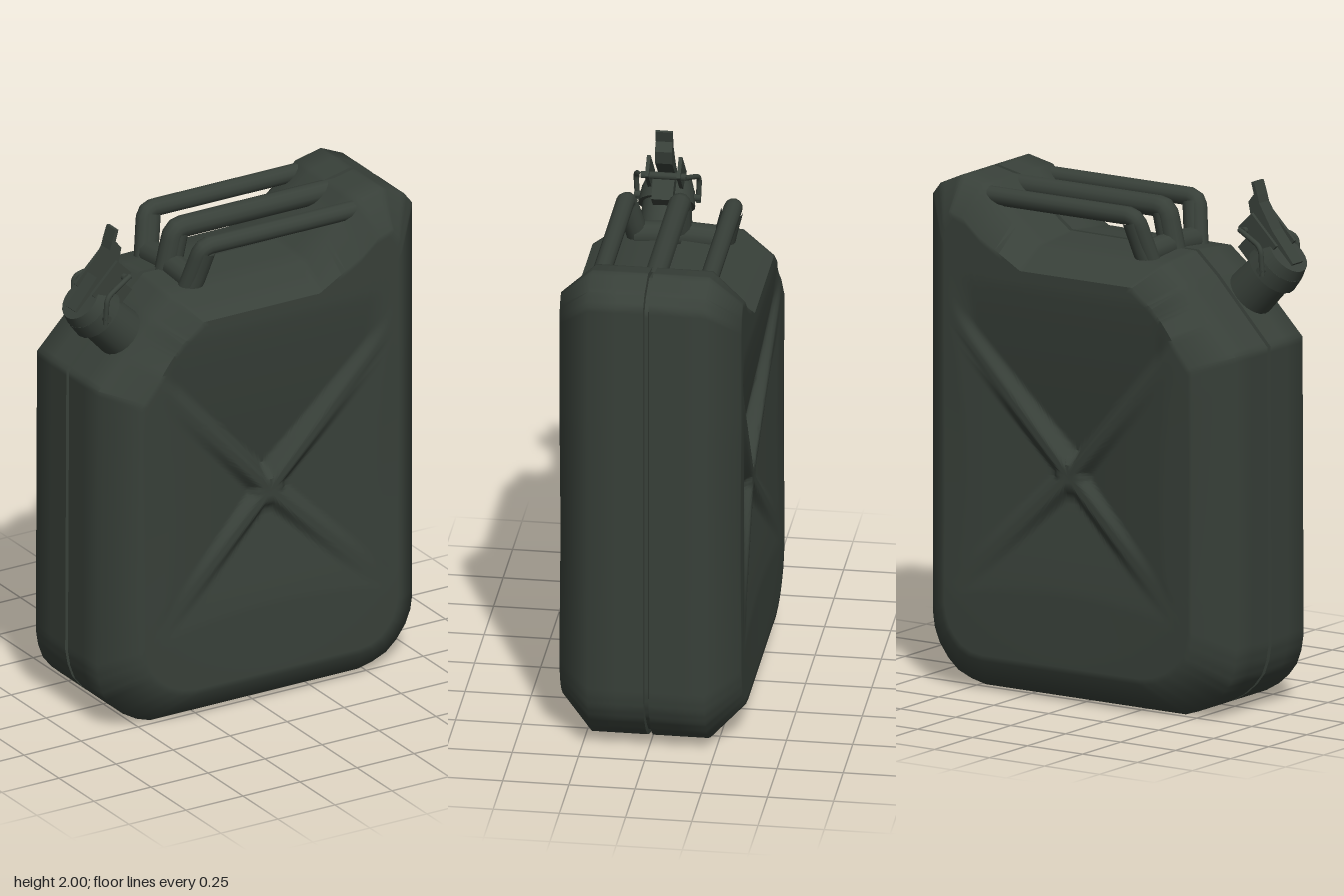
import * as THREE from 'three';
import { toCreasedNormals } from 'three/addons/utils/BufferGeometryUtils.js';

const green = new THREE.MeshStandardMaterial({ color: 0x384039 });
green.name = 'dark olive green';

// Control points round the can: seam x, y, drop at the shoulder, face x, y
const OUTLINE = [
  [-0.43, 0.005, 0, -0.31, 0.125], [0.48, 0.005, 0, 0.42, 0.125],
  [0.545, 0.02, 0, 0.475, 0.133], [0.605, 0.045, 0, 0.52, 0.155],
  [0.65, 0.085, 0, 0.55, 0.185], [0.69, 0.14, 0, 0.575, 0.22],
  [0.712, 0.195, 0, 0.59, 0.26], [0.72, 0.25, 0, 0.6, 0.31],
  [0.72, 1.855, 0, 0.6, 1.74], [0.685, 1.9, 0, 0.59, 1.79],
  [0.59, 1.942, 0, 0.56, 1.83], [0.48, 1.918, 0, 0.5, 1.81],
  [0.42, 1.868, 0.01, 0.43, 1.75], [0.245, 1.735, 0.02, 0.24, 1.64],
  [-0.33, 1.73, 0.02, -0.27, 1.64], [-0.425, 1.645, 0.01, -0.36, 1.57],
  [-0.655, 1.4, 0, -0.54, 1.35], [-0.66, 0.26, 0, -0.54, 0.33],
  [-0.65, 0.2, 0, -0.53, 0.28], [-0.63, 0.145, 0, -0.51, 0.235],
  [-0.595, 0.1, 0, -0.475, 0.195], [-0.55, 0.06, 0, -0.43, 0.16],
  [-0.49, 0.025, 0, -0.37, 0.135],
];
const CX = 0.045, CY = 0.87;
const ARMS = [[-0.47, 1.42], [0.5, 1.36], [0.55, 0.38], [-0.47, 0.4]];

// Depth of the pressed face: four panels sinking toward the middle, parted by raised ribs
function pressDepth(x, y) {
  const dx = x - CX, dy = y - CY, ax = Math.abs(dx), ay = Math.abs(dy);
  const top = dy > 0 && ay >= ax;
  const reach = top ? 0.72 : 0.5;
  const q = Math.min(1, Math.max(ax, ay) / reach);
  const sideFade = top ? Math.min(1, Math.max(0, (0.5 - ax) / 0.08)) : 1;
  const panel = (top ? 0.115 : 0.08) * Math.pow(1 - q, 1.2) * sideFade;
  const rib = 0.032 * Math.max(0, 1 - Math.hypot(dx, dy) / 0.7);
  let away = Math.hypot(dx, dy) - 0.03;
  for (const [ex, ey] of ARMS) {
    const ux = ex - CX, uy = ey - CY, len = Math.hypot(ux, uy);
    if (dx * ux + dy * uy > 0) away = Math.min(away, Math.abs(dx * uy - dy * ux) / len);
  }
  const blend = THREE.MathUtils.smoothstep(away, 0.012, 0.06);
  return rib + (Math.max(panel, rib * 0.5) - rib) * blend;
}

// Subdivide the outline evenly
function sampleOutline() {
  const pts = [];
  OUTLINE.forEach((a, k) => {
    const b = OUTLINE[(k + 1) % OUTLINE.length];
    const n = Math.max(2, Math.ceil(Math.hypot(b[0] - a[0], b[1] - a[1]) / 0.022));
    for (let i = 0; i < n; i++) pts.push(a.map((v, c) => v + (b[c] - v) * i / n));
  });
  return pts;
}

// One pressed half shell, side = 1 for front and -1 for back
function halfShell(side) {
  const pts = sampleOutline(), n = pts.length, pos = [], idx = [];
  let rings = 0;
  const ring = (fn) => {
    for (const p of pts) {
      const [x, y, z] = fn(p);
      pos.push(x, y, z * side);
    }
    rings++;
  };
  const seam = (k, z) => ring(([x, y]) => [x + (CX - x) * k, y + (CY - y) * k, z]);
  seam(0.02, 0);
  seam(0.02, 0.007);
  seam(0, 0.01);
  ring(([x, y, d]) => [x, y - d * 0.5, 0.115]);
  ring(([x, y, d]) => [x, y - d, 0.22]);
  const STEPS = 34;
  for (let s = 0; s <= STEPS; s++) {
    const t = 1 - s / STEPS;
    ring((p) => {
      const x = CX + (p[3] - CX) * t, y = CY + (p[4] - CY) * t;
      return [x, y, 0.343 - pressDepth(x, y)];
    });
  }
  const tri = (a, b, c) => (side > 0 ? idx.push(a, b, c) : idx.push(a, c, b));
  for (let j = 0; j < rings - 1; j++) {
    for (let i = 0; i < n; i++) {
      const a = j * n + i, b = j * n + (i + 1) % n;
      tri(a, b, a + n);
      if (j < rings - 2) tri(b, b + n, a + n);
    }
  }
  const g = new THREE.BufferGeometry();
  g.setAttribute('position', new THREE.Float32BufferAttribute(pos, 3));
  g.setIndex(idx);
  return toCreasedNormals(g, 1.0);
}

function add(parent, name, geometry, x = 0, y = 0, z = 0) {
  const m = new THREE.Mesh(geometry, green);
  m.name = name;
  m.position.set(x, y, z);
  parent.add(m);
  return m;
}

// Round bar through points, with softened bends
function bar(points, radius, bend = 0.04) {
  const v = points.map((p) => new THREE.Vector3(...p));
  const path = new THREE.CurvePath();
  let from = v[0];
  for (let i = 1; i < v.length - 1; i++) {
    const inP = v[i].clone().add(v[i - 1].clone().sub(v[i]).setLength(bend));
    const outP = v[i].clone().add(v[i + 1].clone().sub(v[i]).setLength(bend));
    path.add(new THREE.LineCurve3(from, inP));
    path.add(new THREE.QuadraticBezierCurve3(inP, v[i], outP));
    from = outP;
  }
  path.add(new THREE.LineCurve3(from, v[v.length - 1]));
  return new THREE.TubeGeometry(path, 40, radius, 12, false);
}

export function createModel() {
  const model = new THREE.Group();
  model.name = 'fuelCan';

  add(model, 'frontShell', halfShell(1));
  add(model, 'backShell', halfShell(-1));

  // Three carrying bars on stout legs joined by a low bridge
  const handles = new THREE.Group();
  handles.name = 'handles';
  model.add(handles);
  for (const s of [-1, 0, 1]) {
    add(handles, 'handleBar', bar([
      [-0.235, 1.68, s * 0.15], [-0.19, 1.877, s * 0.203], [0.52, 1.877, s * 0.203],
    ], s ? 0.035 : 0.042, 0.035));
    add(handles, 'handleLeg', bar([
      [-0.22, 1.68, s * 0.155], [-0.195, 1.77, s * 0.175], [-0.175, 1.86, s * 0.198],
    ], 0.042, 0.02));
  }
  add(handles, 'handleBridge', bar([[-0.205, 1.725, -0.17], [-0.205, 1.735, 0], [-0.205, 1.725, 0.17]], 0.05));

  // Tilted filler neck with cap, lever and clamp
  const spout = new THREE.Group();
  spout.name = 'spout';
  spout.position.set(-0.5, 1.57, 0.11);
  spout.rotation.z = Math.PI / 4;
  model.add(spout);
  add(spout, 'neck', new THREE.CylinderGeometry(0.09, 0.1, 0.26, 20), 0, 0.03, 0);
  add(spout, 'collar', new THREE.CylinderGeometry(0.1, 0.108, 0.06, 20), 0, 0.165, 0);
  add(spout, 'cap', new THREE.CylinderGeometry(0.085, 0.1, 0.045, 20), 0, 0.215, 0);

  // Cap lever with an upturned thumb tip
  const lever = new THREE.Shape();
  lever.moveTo(-0.05, 0.23);
  lever.lineTo(0.2, 0.225);
  lever.lineTo(0.245, 0.255);
  lever.lineTo(0.25, 0.295);
  lever.lineTo(0.29, 0.318);
  lever.lineTo(0.282, 0.328);
  lever.lineTo(0.236, 0.305);
  lever.lineTo(0.21, 0.29);
  lever.lineTo(0.1, 0.262);
  lever.lineTo(-0.05, 0.248);
  const leverGeo = new THREE.ExtrudeGeometry(lever, { depth: 0.064, bevelEnabled: false });
  add(spout, 'lever', leverGeo, 0, 0, -0.032);

  // Side plates, wire bails and pins
  for (const s of [-1, 1]) {
    add(spout, 'clampPlate', new THREE.BoxGeometry(0.16, 0.085, 0.014), 0.115, 0.215, s * 0.06);
    add(spout, 'wireBail', bar([
      [-0.02, 0.16, s * 0.115], [0.06, 0.235, s * 0.12], [0.18, 0.18, s * 0.08],
    ], 0.01, 0.03));
  }
  add(spout, 'hingeBlock', new THREE.BoxGeometry(0.07, 0.1, 0.08), 0.115, 0.15, 0);
  for (const [x, y, len] of [[0.165, 0.19, 0.17], [0, 0.17, 0.25]]) {
    add(spout, 'pin', new THREE.CylinderGeometry(0.014, 0.014, len, 10), x, y, 0).rotation.x = Math.PI / 2;
  }

  return model;
}
